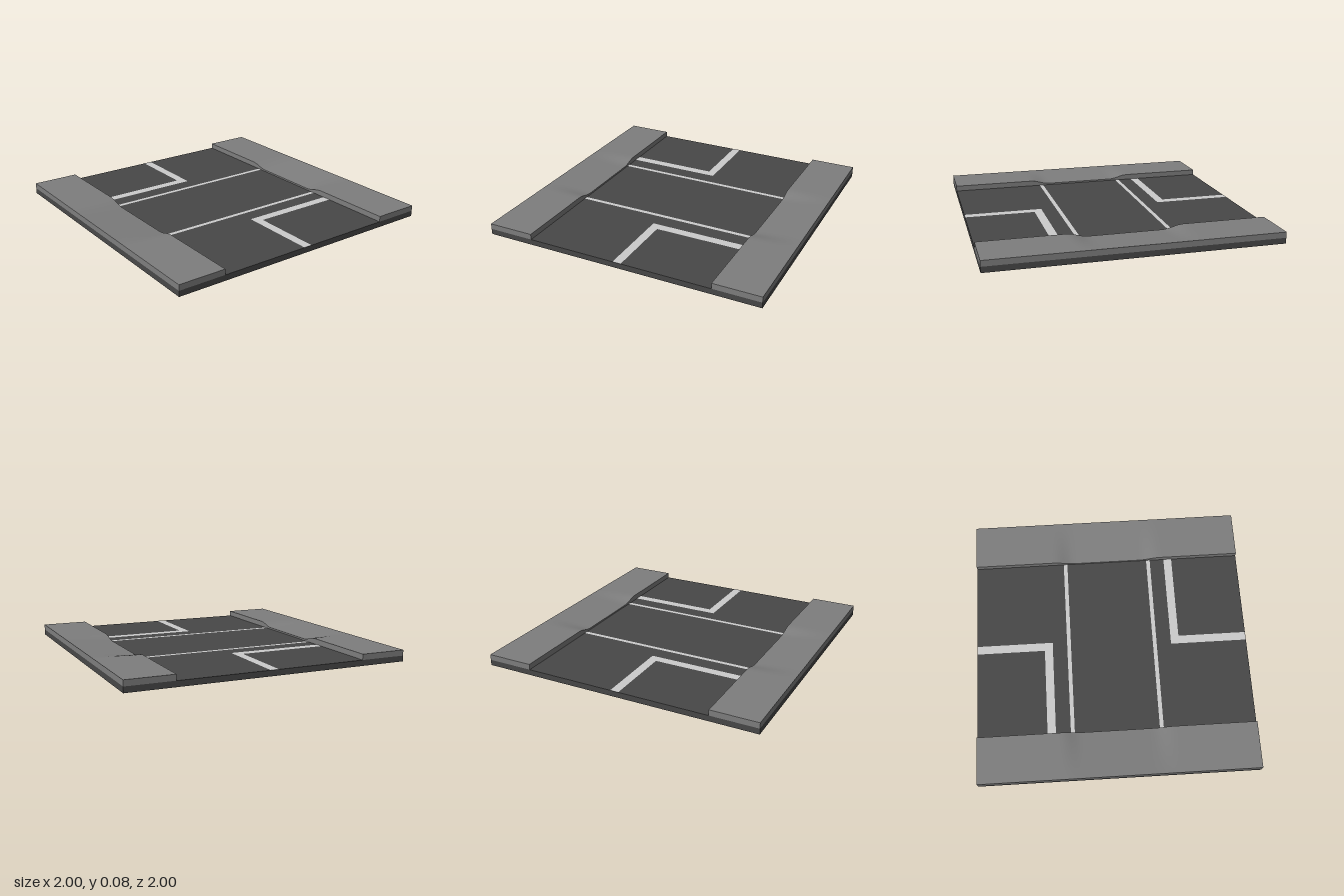
import * as THREE from 'three';

const HALF = 1, ROAD = 0.667, BASE = 0.04, TOP = 0.08, DIP = 0.028;

const asphalt = new THREE.MeshStandardMaterial({ color: 0x484848 });
const concrete = new THREE.MeshStandardMaterial({ color: 0x7e7e7e });
const paint = new THREE.MeshStandardMaterial({ color: 0xcccccc });

function addMesh(parent, name, geometry, material) {
  const mesh = new THREE.Mesh(geometry, material);
  mesh.name = name;
  parent.add(mesh);
  return mesh;
}

// Pavement slab whose inner edge drops to a ramp at the crossing
function sidewalkGeometry() {
  const width = HALF - ROAD;
  const geo = new THREE.BoxGeometry(width, TOP - BASE, 2 * HALF, 6, 1, 60);
  geo.translate((ROAD + HALF) / 2, (BASE + TOP) / 2, 0);
  const pos = geo.attributes.position;
  for (let i = 0; i < pos.count; i++) {
    if (pos.getY(i) < TOP - 0.001) continue;
    const inward = (HALF - pos.getX(i)) / width;
    const along = 1 - THREE.MathUtils.smoothstep(Math.abs(pos.getZ(i)), 0.26, 0.4);
    pos.setY(i, TOP - DIP * inward * along);
  }
  geo.computeVertexNormals();
  return geo;
}

// Flat painted outline given as [x, z] corners
function paintGeometry(corners) {
  const shape = new THREE.Shape(corners.map(([x, z]) => new THREE.Vector2(x, -z)));
  return new THREE.ShapeGeometry(shape).rotateX(-Math.PI / 2).translate(0, BASE + 0.001, 0);
}

export function createModel() {
  const model = new THREE.Group();
  model.name = 'roadCrossingTile';

  const road = new THREE.BoxGeometry(2 * HALF, BASE, 2 * HALF).translate(0, BASE / 2, 0);
  addMesh(model, 'roadBase', road, asphalt);

  const walk = sidewalkGeometry();
  const stopLine = paintGeometry([
    [-0.03, 1], [-0.03, 0.44], [ROAD, 0.44], [ROAD, 0.5], [0.03, 0.5], [0.03, 1],
  ]);
  const crossingLine = paintGeometry([
    [-ROAD, 0.305], [ROAD, 0.305], [ROAD, 0.333], [-ROAD, 0.333],
  ]);

  // Each half of the tile is the other turned half way round
  ['front', 'back'].forEach((end, i) => {
    const half = new THREE.Group();
    half.name = end + 'Half';
    half.rotation.y = i * Math.PI;
    addMesh(half, i ? 'rightSidewalk' : 'leftSidewalk', walk, concrete);
    addMesh(half, end + 'StopAndCentreLine', stopLine, paint);
    addMesh(half, end + 'CrossingLine', crossingLine, paint);
    model.add(half);
  });

  return model;
}
